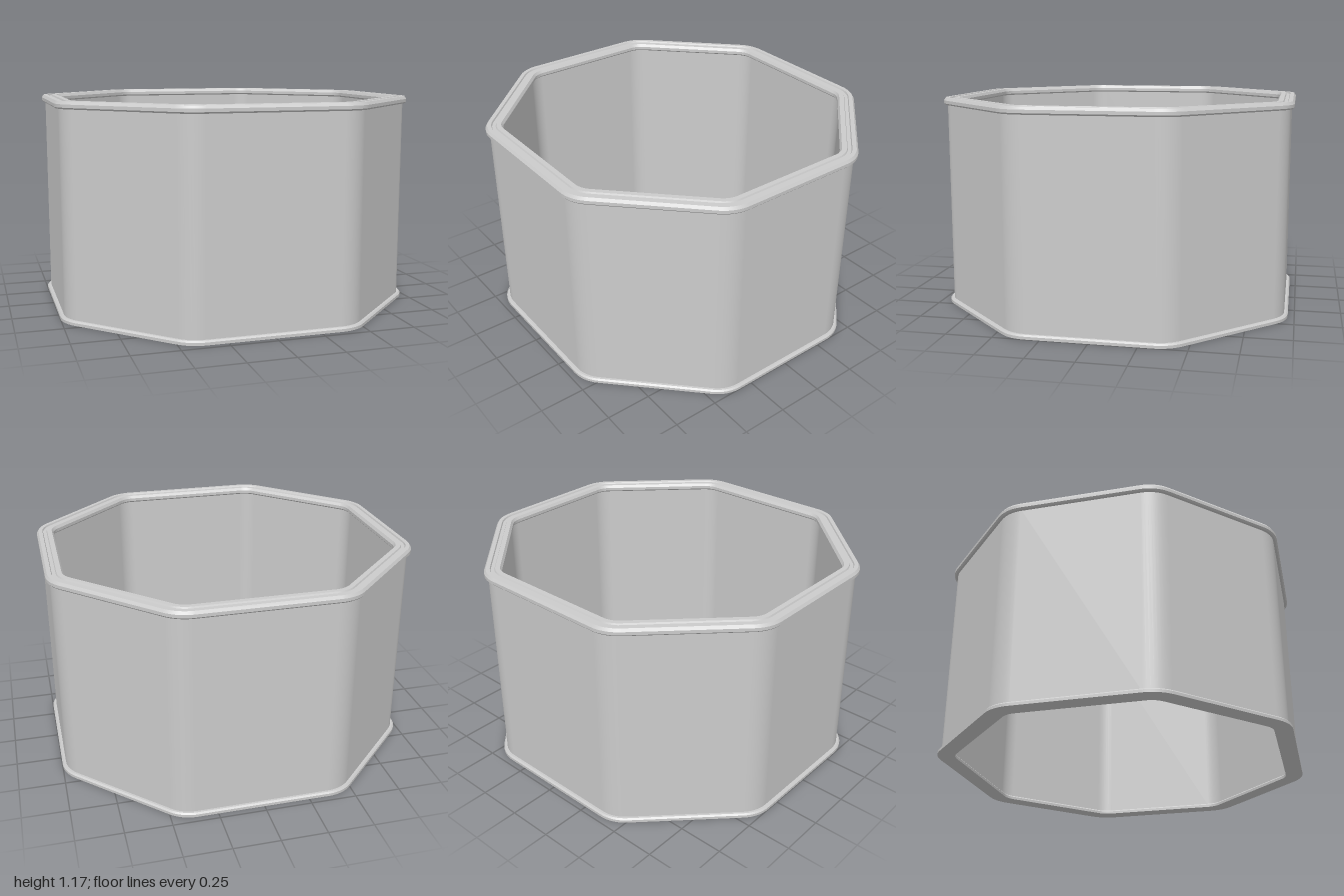
import * as THREE from 'three';

const RADIUS = 0.2;   // outer corner radius of the octagon
const STEPS = 8;      // segments per rounded corner

// Rounded octagon: each entry is an arc centre plus its outward direction
function octagonOutline() {
  const quarter = [[0.8, 0.327], [0.362, 0.765]];
  const centres = [
    ...quarter,
    ...quarter.map(([x, z]) => [-x, z]).reverse(),
    ...quarter.map(([x, z]) => [-x, -z]),
    ...quarter.map(([x, z]) => [x, -z]).reverse(),
  ];
  const outline = [];
  centres.forEach(([x, z], k) => {
    for (let s = 0; s <= STEPS; s++) {
      const a = (k + s / STEPS) * Math.PI / 4;
      outline.push({ x, z, nx: Math.cos(a), nz: Math.sin(a) });
    }
  });
  return outline;
}

// Sweeps a closed [inset, height] section round the octagon, with crisp section edges
function sweep(section) {
  const outline = octagonOutline();
  const n = outline.length;
  const positions = [], normals = [], indices = [];
  section.forEach(([d0, y0], j) => {
    const [d1, y1] = section[(j + 1) % section.length];
    const length = Math.hypot(d1 - d0, y1 - y0);
    const radial = (y1 - y0) / length, up = (d1 - d0) / length;
    const base = positions.length / 3;
    outline.forEach((p, i) => {
      for (const [d, y] of [[d0, y0], [d1, y1]]) {
        positions.push(p.x + p.nx * (RADIUS - d), y, p.z + p.nz * (RADIUS - d));
        normals.push(p.nx * radial, up, p.nz * radial);
      }
      const a = base + i * 2, b = base + ((i + 1) % n) * 2;
      indices.push(a, a + 1, b + 1, a, b + 1, b);
    });
  });
  const geometry = new THREE.BufferGeometry();
  geometry.setAttribute('position', new THREE.Float32BufferAttribute(positions, 3));
  geometry.setAttribute('normal', new THREE.Float32BufferAttribute(normals, 3));
  geometry.setIndex(indices);
  return geometry;
}

export function createModel() {
  const group = new THREE.Group();
  const material = new THREE.MeshStandardMaterial({ color: 0xcccccc });
  const add = (name, section) => {
    const mesh = new THREE.Mesh(sweep(section), material);
    mesh.name = name;
    group.add(mesh);
  };

  // Straight tube wall
  add('wall', [[0.02, 0.01], [0.02, 1.14], [0.075, 1.14], [0.075, 0.01]]);

  // Top rim: chamfered edges and a shallow groove round the middle
  add('topRim', [
    [0.008, 1.13], [0, 1.138], [0, 1.155], [0.01, 1.17], [0.032, 1.17], [0.036, 1.162],
    [0.055, 1.162], [0.059, 1.17], [0.085, 1.17], [0.095, 1.155], [0.095, 1.138], [0.087, 1.13],
  ]);

  // Bottom rim: thin flange with a chamfered upper edge
  add('bottomRim', [
    [0, 0], [0, 0.015], [0.008, 0.023], [0.087, 0.023], [0.095, 0.015], [0.095, 0],
  ]);

  return group;
}
